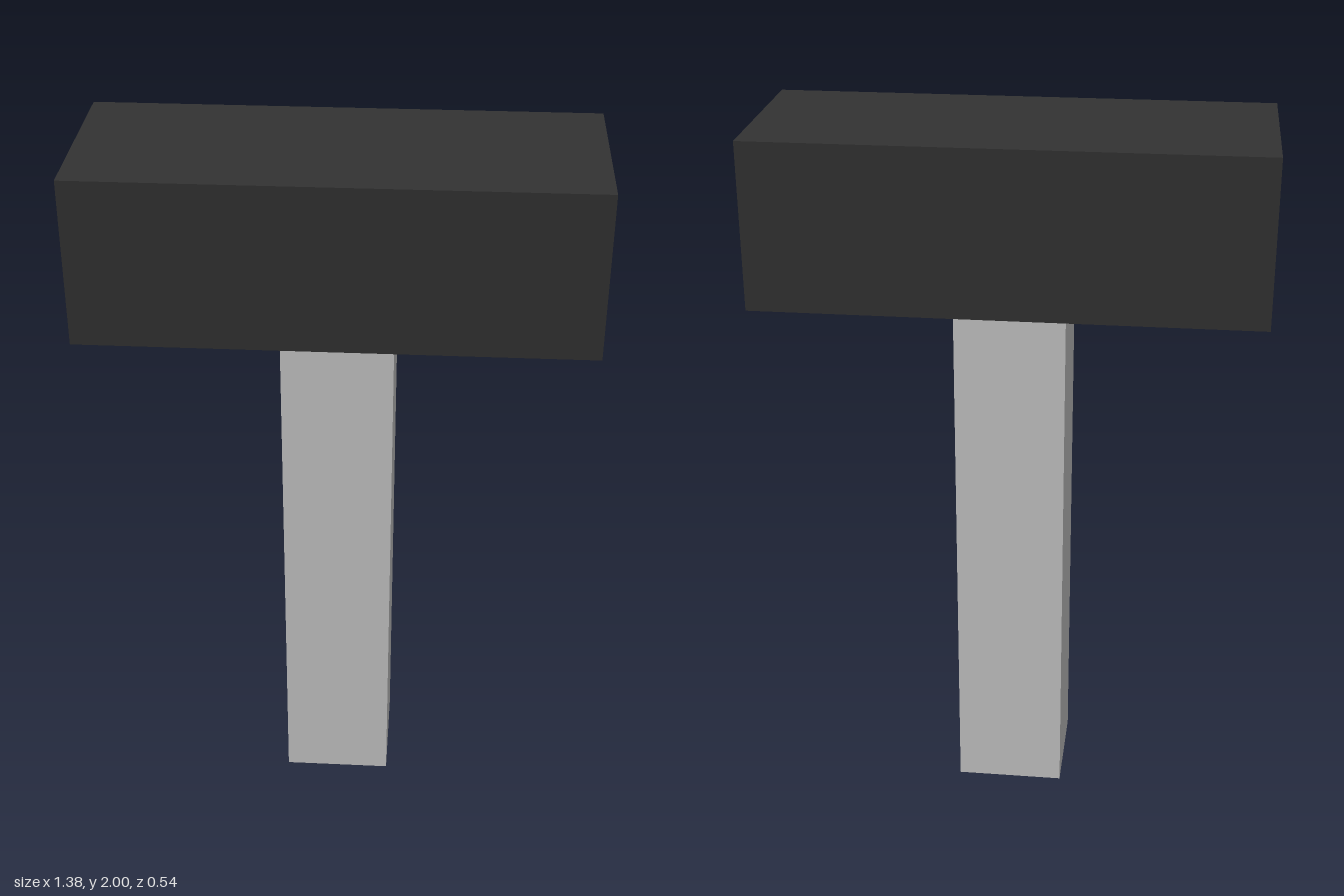
import * as THREE from 'three';

// Box standing on height y0 and reaching y1, centred on x and z
function block(name, width, depth, y0, y1, color) {
  const mesh = new THREE.Mesh(
    new THREE.BoxGeometry(width, y1 - y0, depth),
    new THREE.MeshStandardMaterial({ color })
  );
  mesh.position.y = (y0 + y1) / 2;
  mesh.name = name;
  return mesh;
}

export function createModel() {
  const model = new THREE.Group();
  model.name = 'hammer';

  // Square shaft, ending at the underside of the head
  model.add(block('handle', 0.306, 0.306, 0, 1.54, 0xcccccc));

  // Heavy dark block on top
  model.add(block('head', 1.385, 0.538, 1.54, 2, 0x333333));

  return model;
}
